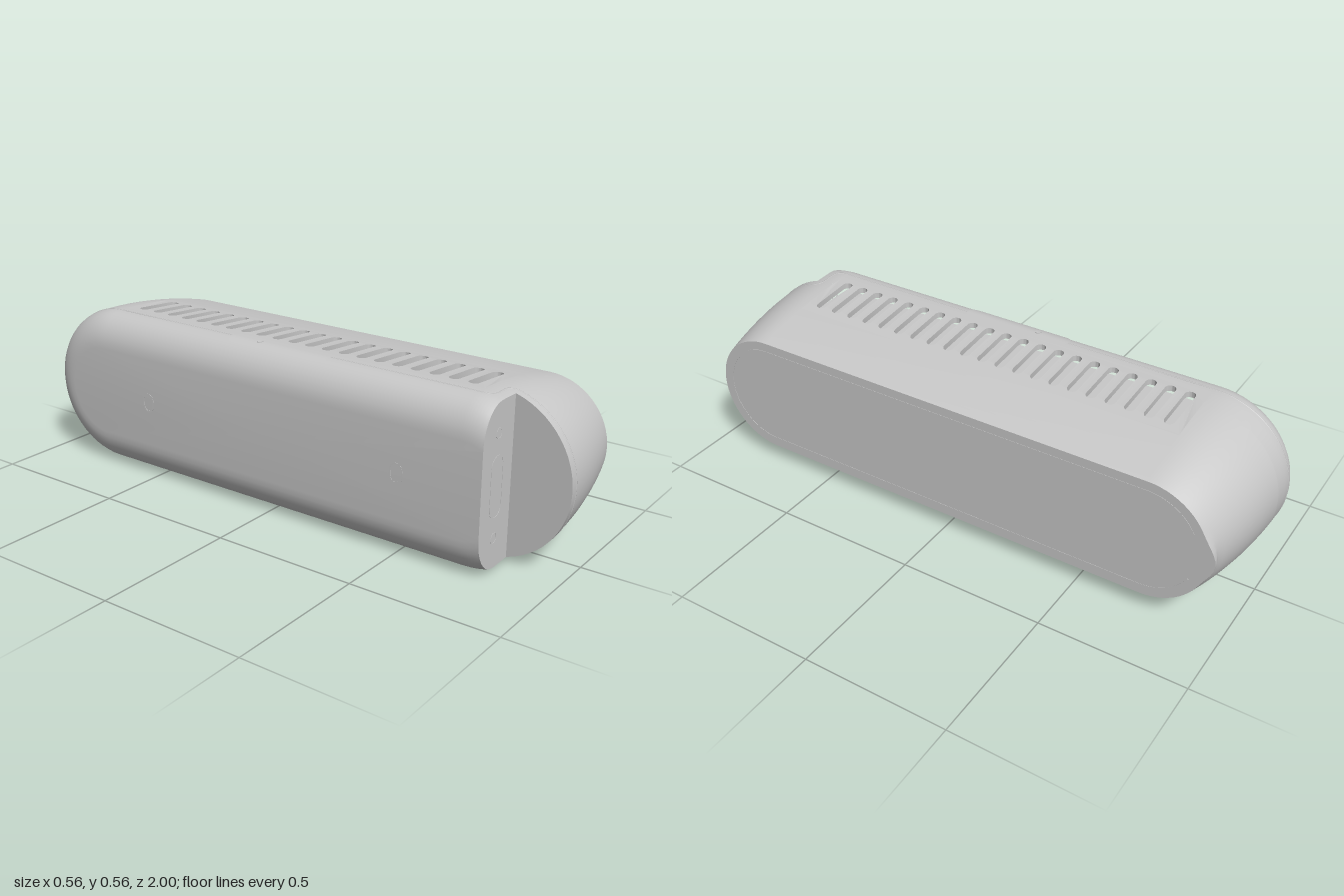
import * as THREE from 'three';
import { toCreasedNormals } from 'three/addons/utils/BufferGeometryUtils.js';

const C = 0.279, H = 0.277, ZC = 0.723; // stadium section: centre height, radius, end centres
const X0 = -0.15, X1 = 0.08;            // band filled by the slotted panels
const BAND = [-0.1, -0.05, 0, 0.04];    // section positions inside the band
const N = 16;

// How far the section shrinks at each x: rounded back edge, tapered front
function inset(x) {
  if (x < -0.18) {
    const t = Math.min(1, (-0.18 - x) / 0.1);
    return 0.12 * (1 - Math.sqrt(1 - t * t));
  }
  return 0.065 * ((x + 0.18) / 0.46) ** 2;
}

// Stadium section at x, optionally cut flat at zCut, with a finger lip at the -z tip
function ring(x, zCut) {
  const h = H - inset(x), pts = [];
  const aMax = Math.asin(Math.min(1, (zCut - ZC) / h));
  const add = (y, z) => pts.push([x, y, z]);
  for (let k = 0; k <= N; k++) {
    const a = aMax * k / N;
    add(C - h * Math.cos(a), ZC + h * Math.sin(a));
  }
  for (let k = N; k >= 0; k--) {
    const a = aMax * k / N;
    add(C + h * Math.cos(a), ZC + h * Math.sin(a));
  }
  const s = THREE.MathUtils.smoothstep(x, 0.235, 0.28);
  for (let k = 0; k <= 2 * N; k++) {
    const a = Math.PI * k / (2 * N), y = h * Math.cos(a);
    const g = Math.abs(y) < 0.1 && Math.sin(a) > 0.5 ? Math.cos(y / 0.1 * Math.PI / 2) ** 2 : 0;
    add(C + y, -ZC - h * Math.sin(a) - 0.022 * g * s);
  }
  return pts;
}

// Skin the sections, leaving the flat top and bottom open where panels sit
function loft(xs, zCut, caps) {
  const rings = xs.map(x => ring(x, zCut)), n = rings[0].length, pos = [];
  const tri = (a, b, c) => pos.push(...a, ...b, ...c);
  for (let i = 0; i < xs.length - 1; i++) {
    const open = xs[i] >= X0 - 1e-6 && xs[i + 1] <= X1 + 1e-6;
    for (let j = 0; j < n; j++) {
      if (open && (j === n - 1 || j === 2 * N + 1)) continue;
      const k = (j + 1) % n, p = rings[i], q = rings[i + 1];
      tri(p[j], q[j], p[k]);
      tri(p[k], q[j], q[k]);
    }
  }
  for (const { end, z, count = n } of caps) {
    const r = end > 0 ? rings[rings.length - 1] : rings[0];
    const mid = [r[0][0], C, z];
    for (let j = 0; j < count; j++) {
      const a = r[j], b = r[(j + 1) % n];
      if (end > 0) tri(mid, b, a); else tri(mid, a, b);
    }
  }
  const g = new THREE.BufferGeometry();
  g.setAttribute('position', new THREE.Float32BufferAttribute(pos, 3));
  return toCreasedNormals(g, 0.5);
}

// Pill outline: half length of the straight part, radius, centre, direction
function pill(half, r, cx = 0, cy = 0, vertical = false, T = THREE.Shape) {
  const s = new T(), p = Math.PI / 2;
  if (vertical) {
    s.absarc(cx, cy + half, r, 0, 2 * p, false);
    s.absarc(cx, cy - half, r, 2 * p, 4 * p, false);
  } else {
    s.absarc(cx + half, cy, r, -p, p, false);
    s.absarc(cx - half, cy, r, p, 3 * p, false);
  }
  s.closePath();
  return s;
}

// Panel outline whose ends follow the body sections
function bandShape() {
  const xs = [X0, ...BAND, X1];
  return new THREE.Shape([
    ...xs.map(x => new THREE.Vector2(x, -ZC)),
    ...xs.reverse().map(x => new THREE.Vector2(x, ZC)),
  ]);
}

function rect(x0, x1, z, r) {
  const s = new THREE.Shape();
  s.moveTo(x0 + r, -z);
  s.lineTo(x1 - r, -z);
  s.quadraticCurveTo(x1, -z, x1, -z + r);
  s.lineTo(x1, z - r);
  s.quadraticCurveTo(x1, z, x1 - r, z);
  s.lineTo(x0 + r, z);
  s.quadraticCurveTo(x0, z, x0, z - r);
  s.lineTo(x0, -z + r);
  s.quadraticCurveTo(x0, -z, x0 + r, -z);
  return s;
}

const extrude = (shape, depth) =>
  new THREE.ExtrudeGeometry(shape, { depth, bevelEnabled: false, curveSegments: 8 });

// Plate bent onto the top (side 1) or bottom (side -1) of the body
function sheet(shape, depth, side, lift) {
  const g = extrude(shape, depth).rotateX(-Math.PI / 2), p = g.attributes.position;
  for (let i = 0; i < p.count; i++) {
    const t = side > 0 ? p.getY(i) : depth - p.getY(i);
    p.setY(i, C + side * (H - inset(p.getX(i)) + lift - depth + t));
  }
  return toCreasedNormals(g, 0.5);
}

// Thin pill-shaped skin hugging the curved top edge
function buttonSkin(cx, half, r, lift) {
  const g = new THREE.PlaneGeometry(2, 2, 16, 1).rotateX(-Math.PI / 2), p = g.attributes.position;
  for (let i = 0; i < p.count; i++) {
    const a = p.getX(i) * Math.PI / 2, x = cx + r * Math.sin(a);
    p.setXYZ(i, x, C + H - inset(x) + lift, p.getZ(i) * (half + r * Math.cos(a)));
  }
  g.computeVertexNormals();
  return g;
}

function pillRing(half, r, w) {
  const s = pill(half, r, 0, 0, true);
  s.holes.push(pill(half, r - w, 0, 0, true, THREE.Path));
  return extrude(s, 0.002);
}

// Pill-shaped band left open by angle a at its +x end
function openBand(half, r, w, a) {
  const s = new THREE.Shape(), p = Math.PI / 2, q = r - w;
  s.absarc(half, 0, r, a, p, false);
  s.absarc(-half, 0, r, p, 3 * p, false);
  s.absarc(half, 0, r, -p, -a, false);
  s.absarc(half, 0, q, -a, -p, true);
  s.absarc(-half, 0, q, 3 * p, p, true);
  s.absarc(half, 0, q, p, a, true);
  return extrude(s, 0.002);
}

export function createModel() {
  const group = new THREE.Group();
  const body = new THREE.MeshStandardMaterial({ color: 0xc8c8c8 });
  body.name = 'body grey';
  const add = (name, geo, x = 0, y = 0, z = 0) => {
    const m = new THREE.Mesh(geo, body);
    m.name = name;
    m.position.set(x, y, z);
    group.add(m);
  };

  // Main shells; the back cover stops short to leave the connector notch
  add('frontShell', loft([...BAND, X1, 0.13, 0.18, 0.21, 0.235, 0.25, 0.265, 0.28], 9,
    [{ end: 1, z: 0 }, { end: -1, z: ZC, count: 2 * N + 1 }]));
  const backXs = [];
  for (let k = 0; k <= 9; k++) backXs.push(-0.18 - 0.1 * Math.cos(k / 9 * Math.PI / 2));
  add('backCover', loft([...backXs, X0, -0.1], 0.8, [{ end: -1, z: 0 }]));

  // Slotted top vent
  const top = bandShape();
  for (let i = -10; i <= 10; i++)
    top.holes.push(pill(0.072, 0.018, -0.04, i * 0.067, false, THREE.Path));
  add('topVent', sheet(top, 0.02, 1, 0));

  // Slotted underside and raised foot pad, sharing the same openings
  const under = bandShape(), pad = rect(-0.18, X1, 0.65, 0.03);
  for (const s of [under, pad]) {
    s.holes.push(pill(0, 0.075, -0.05, 0, false, THREE.Path));
    for (let i = 0; i < 10; i++)
      for (const side of [1, -1])
        s.holes.push(pill(0.075, 0.012, -0.05, side * (0.115 + i * 0.055), false, THREE.Path));
  }
  add('bottomVent', sheet(under, 0.02, -1, 0));
  add('footPad', extrude(pad, 0.018).rotateX(-Math.PI / 2));
  add('bottomHatch', sheet(rect(X1, 0.17, 0.45, 0.005), 0.008, -1, 0.004));

  // Inner floors behind the slots
  for (const side of [1, -1])
    add('ventFloor', new THREE.BoxGeometry(0.22, 0.01, 1.4), -0.035, C + side * (H - 0.045), 0);

  // Seam between the shells, stepping forward around the notch
  const half = [];
  const put = (x, z) => {
    const h = H - inset(x) - 0.002, over = Math.max(0, Math.abs(z) - ZC);
    half.push(new THREE.Vector3(x, Math.sqrt(Math.max(0, h * h - over * over)), z));
  };
  for (let k = 0; k <= 10; k++) put(-0.18, -ZC - (H - 0.002) * Math.cos(k / 10 * Math.PI / 2));
  for (const z of [-0.4, 0, 0.4, 0.7, 0.745]) put(-0.18, z);
  put(-0.165, 0.766);
  put(-0.09, 0.77);
  put(-0.072, 0.79);
  for (let k = 2; k <= 10; k++)
    put(-0.07, ZC + (H - inset(-0.07) - 0.002) * Math.sin(k / 10 * Math.PI / 2));
  const lower = half.slice(1, -1).reverse().map(p => new THREE.Vector3(p.x, -p.y, p.z));
  const seam = new THREE.CatmullRomCurve3([...half, ...lower], true);
  add('shellSeam', new THREE.TubeGeometry(seam, 400, 0.0035, 6, true), 0, C, 0);

  // Front panel outline, open at the finger lip
  add('frontPanelSeam', openBand(ZC, 0.181, 0.006, 0.5).rotateY(Math.PI / 2), 0.279, C, 0);

  // Top button with pinhole
  add('button', buttonSkin(-0.188, 0.162, 0.0375, 0.003));
  add('buttonPinhole', sheet(pill(0, 0.01, -0.188, 0.08), 0.003, 1, 0.005));

  // Connector and screw outlines on the notch face
  add('connectorOutline', pillRing(0.064, 0.036, 0.003), -0.189, C, 0.799);
  for (const y of [0.113, 0.447])
    add('screwOutline', pillRing(0, 0.018, 0.003), -0.189, y, 0.799);

  // Mounting holes on the back
  for (const z of [-0.51, 0.51])
    add('mountRim', pillRing(0.01, 0.024, 0.006).rotateY(-Math.PI / 2), -0.279, C, z);
  return group;
}
